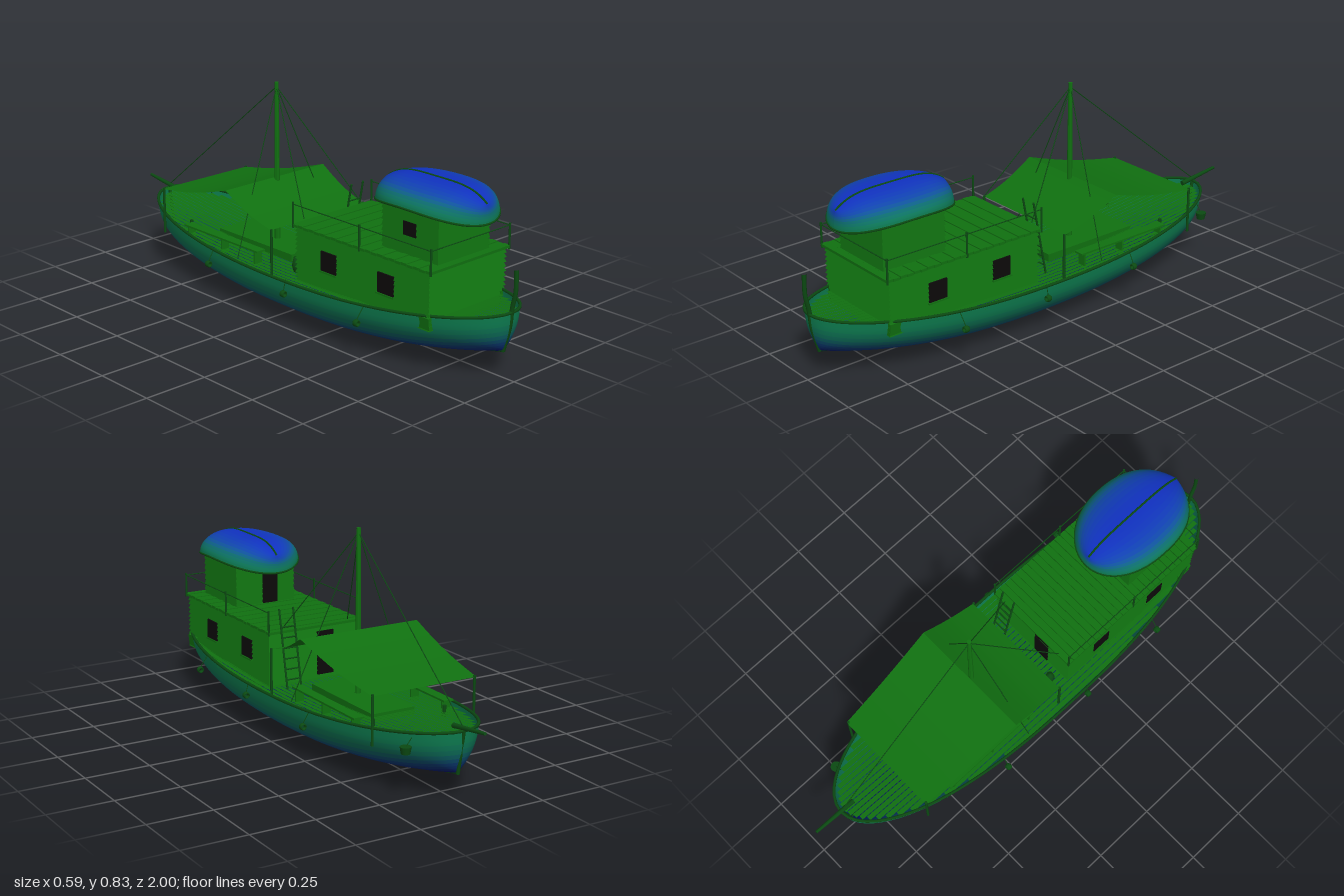
import * as THREE from 'three';
import { ParametricGeometry } from 'three/addons/geometries/ParametricGeometry.js';

const mat = (color, flat = false, side = THREE.FrontSide) =>
  new THREE.MeshStandardMaterial({ color, flatShading: flat, side });
const wood = mat(0x107010, true);
const darkWood = mat(0x0b4a12);
const cloth = mat(0x107010, false, THREE.DoubleSide);
const opening = mat(0x0c0a0a);
const V = (x, y, z) => new THREE.Vector3(x, y, z);

export function createModel() {
  const boat = new THREE.Group();
  boat.name = 'boat';

  const add = (name, geo, material = wood, parent = boat) => {
    const m = new THREE.Mesh(geo, material);
    m.name = name;
    parent.add(m);
    return m;
  };
  const box = (name, w, h, d, x, y, z, material = wood, parent = boat) => {
    const m = add(name, new THREE.BoxGeometry(w, h, d), material, parent);
    m.position.set(x, y, z);
    return m;
  };
  // Round bar between two points
  const rod = (name, a, b, r, material = darkWood, rEnd = r) => {
    const m = add(name, new THREE.CylinderGeometry(rEnd, r, a.distanceTo(b), 8), material);
    m.position.copy(a).lerp(b, 0.5);
    m.quaternion.setFromUnitVectors(V(0, 1, 0), b.clone().sub(a).normalize());
    return m;
  };
  const tube = (name, pts, r, material = darkWood) =>
    add(name, new THREE.TubeGeometry(new THREE.CatmullRomCurve3(pts), 60, r, 6), material);

  // Boat-shaped shell: u runs end to end, v runs rim - keel - rim
  const shellPoint = (s, u, v, out = V(0, 0, 0)) => {
    const k = Math.sin((u - 0.5) * Math.PI), a = v * Math.PI;
    const depth = Math.pow(Math.max(0, Math.sin(a)), 0.91);
    const side = Math.sign(Math.cos(a)) * Math.pow(Math.abs(Math.cos(a)), 0.91);
    const rim = s.rim(k), z = s.z0 + k * (k > 0 ? s.fore : s.aft) * (1 - 0.035 * depth * depth);
    return out.set(s.width(k) * side, rim + (s.keel(k) - rim) * depth, z);
  };
  const shell = (name, s, stops) => {
    const nu = 44, nv = 24;
    const geo = new ParametricGeometry((u, v, t) => shellPoint(s, u, v, t), nu, nv);
    geo.computeVertexNormals();
    const mats = [];
    for (let j = 0; j < nv; j++) {
      const d = Math.pow(Math.sin(((j + 0.5) / nv) * Math.PI), 0.91) * (stops.length - 1);
      const i = Math.min(Math.floor(d), stops.length - 2);
      const c = new THREE.Color(stops[i]).lerp(new THREE.Color(stops[i + 1]), d - i);
      geo.addGroup(j * nu * 6, nu * 6, j);
      mats.push(mat(c, false, THREE.DoubleSide));
    }
    return add(name, geo, mats);
  };
  const shellLine = (s, v, n = 40) =>
    Array.from({ length: n + 1 }, (_, i) => shellPoint(s, i / n, v));

  // Hull with gunwale, keel and end posts
  const hull = {
    z0: 0.08, fore: 0.9, aft: 0.96,
    width: k => 0.27 * Math.sqrt(Math.max(0, 1 - Math.pow(Math.abs(k), 2.5))),
    rim: k => 0.197 + (k > 0 ? 0.055 : 0.065) * k * k,
    keel: k => 0.008 + 0.095 * Math.pow(Math.abs(k), 2.2),
  };
  shell('hull', hull, [0x0d7a4c, 0x0d7a50, 0x0c6a58, 0x0a3c70, 0x02026a]);
  for (const v of [0, 1]) tube('gunwale', shellLine(hull, v), 0.006);
  tube('keel', shellLine(hull, 0.5), 0.005);
  tube('stemPost', [V(0, 0.1, 0.945), V(0, 0.2, 0.972), V(0, 0.27, 0.98), V(0, 0.33, 0.992), V(0, 0.41, 0.992)], 0.008);
  rod('sternPost', V(0, 0.1, -0.85), V(0, 0.265, -0.88), 0.007);
  rod('bowsprit', V(0, 0.265, -0.82), V(0, 0.288, -1), 0.01, darkWood, 0.006);

  // Deck planks, each ending where the hull curves in
  const planks = 25, pitch = 0.52 / planks;
  for (let i = 0; i < planks; i++) {
    const x = (i - (planks - 1) / 2) * pitch;
    const reach = Math.pow(Math.max(0, 1 - Math.pow((Math.abs(x) + pitch * 0.4) / 0.27, 2)), 0.4) * 0.985;
    add('deckPlank', new ParametricGeometry((u, v, t) => {
      const k = (u * 2 - 1) * reach;
      t.set(x + (0.5 - v) * pitch * 0.9, hull.rim(k) - 0.016, hull.z0 + k * (k > 0 ? hull.fore : hull.aft));
    }, 20, 1), cloth);
  }

  // Overlapping board walls
  const boards = (name, w, d, y0, y1, z, n) => {
    const g = new THREE.Group(), h = (y1 - y0) / n;
    g.name = name;
    for (let i = 0; i < n; i++) {
      const geo = new THREE.CylinderGeometry(0.97 * Math.SQRT1_2, Math.SQRT1_2, h, 4);
      geo.rotateY(Math.PI / 4).scale(w, 1, d);
      add('wallBoard', geo, wood, g).position.set(0, y0 + h * (i + 0.5), z);
    }
    boat.add(g);
  };
  boards('cabin', 0.392, 0.675, 0.175, 0.385, 0.443, 12);
  boards('wheelhouse', 0.264, 0.272, 0.39, 0.6, 0.62, 10);

  // Cabin roof of crosswise planks
  for (let i = 0; i < 24; i++)
    box('roofPlank', 0.404, 0.01, 0.0265, 0, 0.389 + (i % 2) * 0.002, 0.11 + i * 0.029);
  // Windows and doors
  for (const s of [-1, 1]) {
    for (const z of [0.57, 0.283]) {
      box('cabinWindow', 0.008, 0.075, 0.078, s * 0.194, 0.29, z, opening);
      box('windowSill', 0.012, 0.006, 0.088, s * 0.196, 0.25, z);
    }
    // Corner supports and roof railing
    const foot = box('cornerSupport', 0.026, 0.05, 0.07, s * 0.184, 0.2, 0.745);
    foot.rotation.z = s * -0.12;
    for (const z of [0.1, 0.443, 0.787])
      rod('railPost', V(s * 0.2, 0.38, z), V(s * 0.2, 0.478, z), 0.004);
    rod('sideRail', V(s * 0.2, 0.47, 0.1), V(s * 0.2, 0.47, 0.787), 0.002);
  }
  rod('frontRail', V(-0.2, 0.47, 0.787), V(0.2, 0.47, 0.787), 0.002);
  box('cabinDoor', 0.07, 0.13, 0.008, -0.05, 0.26, 0.107, opening);
  box('cabinBackWindow', 0.07, 0.03, 0.008, -0.05, 0.352, 0.109, opening);
  box('wheelhouseDoor', 0.065, 0.13, 0.008, -0.02, 0.46, 0.486, opening);
  box('wheelhouseWindow', 0.008, 0.05, 0.06, -0.13, 0.49, 0.62, opening);

  // Upturned boat as wheelhouse roof
  const roof = {
    z0: 0.622, fore: 0.24, aft: 0.24,
    width: k => 0.175 * Math.sqrt(Math.max(0, 1 - Math.pow(Math.abs(k), 2.3))),
    rim: k => 0.577 - 0.038 * k * k,
    keel: k => 0.652 - 0.045 * Math.pow(Math.abs(k), 4),
  };
  shell('wheelhouseRoof', roof, [0x0d7a4c, 0x0d7a5c, 0x0c6a70, 0x1048a8, 0x1030c0]);
  for (const v of [0, 1]) tube('roofRim', shellLine(roof, v), 0.004);
  tube('roofKeel', shellLine(roof, 0.5), 0.004);

  // Ladder up to the cabin roof
  for (const x of [0.095, 0.155]) rod('ladderRail', V(x, 0.18, 0.04), V(x, 0.48, 0.1), 0.004);
  for (let i = 0; i < 6; i++) {
    const t = 0.12 + i * 0.13;
    rod('ladderRung', V(0.095, 0.18 + 0.3 * t, 0.04 + 0.06 * t), V(0.155, 0.18 + 0.3 * t, 0.04 + 0.06 * t), 0.003);
  }
  // Barrel by the cabin door
  const barrel = [[0, 0], [0.013, 0], [0.019, 0.025], [0.013, 0.055], [0, 0.06]];
  add('barrel', new THREE.LatheGeometry(barrel.map(p => new THREE.Vector2(...p)), 12), darkWood)
    .position.set(-0.145, 0.185, 0.06);

  // Mast and rigging
  const top = V(0, 0.815, -0.21);
  rod('mast', V(0, 0.17, -0.21), V(0, 0.832, -0.21), 0.012, wood, 0.008);
  rod('forestay', top, V(0, 0.28, -0.87), 0.0018);
  for (const s of [-1, 1]) {
    rod('shroud', top, V(s * 0.25, 0.205, -0.155), 0.0018);
    rod('backstay', top, V(s * 0.145, 0.4, 0.1), 0.0018);
    // Awning poles and side benches
    rod('awningPole', V(s * 0.235, 0.18, 0.02), V(s * 0.235, 0.36, 0.02), 0.005);
    rod('awningPole', V(s * 0.212, 0.175, -0.642), V(s * 0.212, 0.36, -0.642), 0.005);
    box('bench', 0.04, 0.007, 0.43, s * 0.19, 0.235, -0.305);
    for (const z of [-0.11, -0.3, -0.5]) box('benchLeg', 0.035, 0.06, 0.008, s * 0.19, 0.205, z);
  }
  box('hatch', 0.18, 0.03, 0.42, 0, 0.197, -0.24);

  // Awning: two sloping panels with a slight sag, meeting at a crosswise ridge
  for (const [z, w, y] of [[0.018, 0.236, 0.357], [-0.647, 0.217, 0.355]])
    add('awning', new ParametricGeometry((u, v, t) => t.set(
      (u * 2 - 1) * (0.25 + (w - 0.25) * v),
      0.456 + (y - 0.456) * v - 0.012 * Math.sin(v * Math.PI),
      -0.22 + (z + 0.22) * v), 4, 10), cloth);

  // Ring fenders hung along both sides
  for (const s of [-1, 1]) for (const z of [0.515, 0.135, -0.29]) {
    const edge = hull.width((z - 0.08) / 0.93);
    const ring = add('fender', new THREE.TorusGeometry(0.0095, 0.0035, 8, 18), darkWood);
    ring.position.set(s * 0.281, 0.153, z);
    ring.scale.z = 3;
    rod('fenderRope', V(s * 0.281, 0.163, z), V(s * edge, 0.205, z), 0.0015);
  }

  // Bucket hung over the side
  add('bucket', new THREE.CylinderGeometry(0.021, 0.016, 0.026, 12), darkWood).position.set(0.16, 0.19, -0.77);
  rod('bucketRope', V(0.16, 0.2, -0.77), V(0.125, 0.245, -0.77), 0.0015);

  // Mooring bitts on the after deck
  for (const s of [-1, 1]) rod('mooringBitt', V(s * 0.15, 0.19, -0.55), V(s * 0.15, 0.235, -0.55), 0.007);
  return boat;
}
